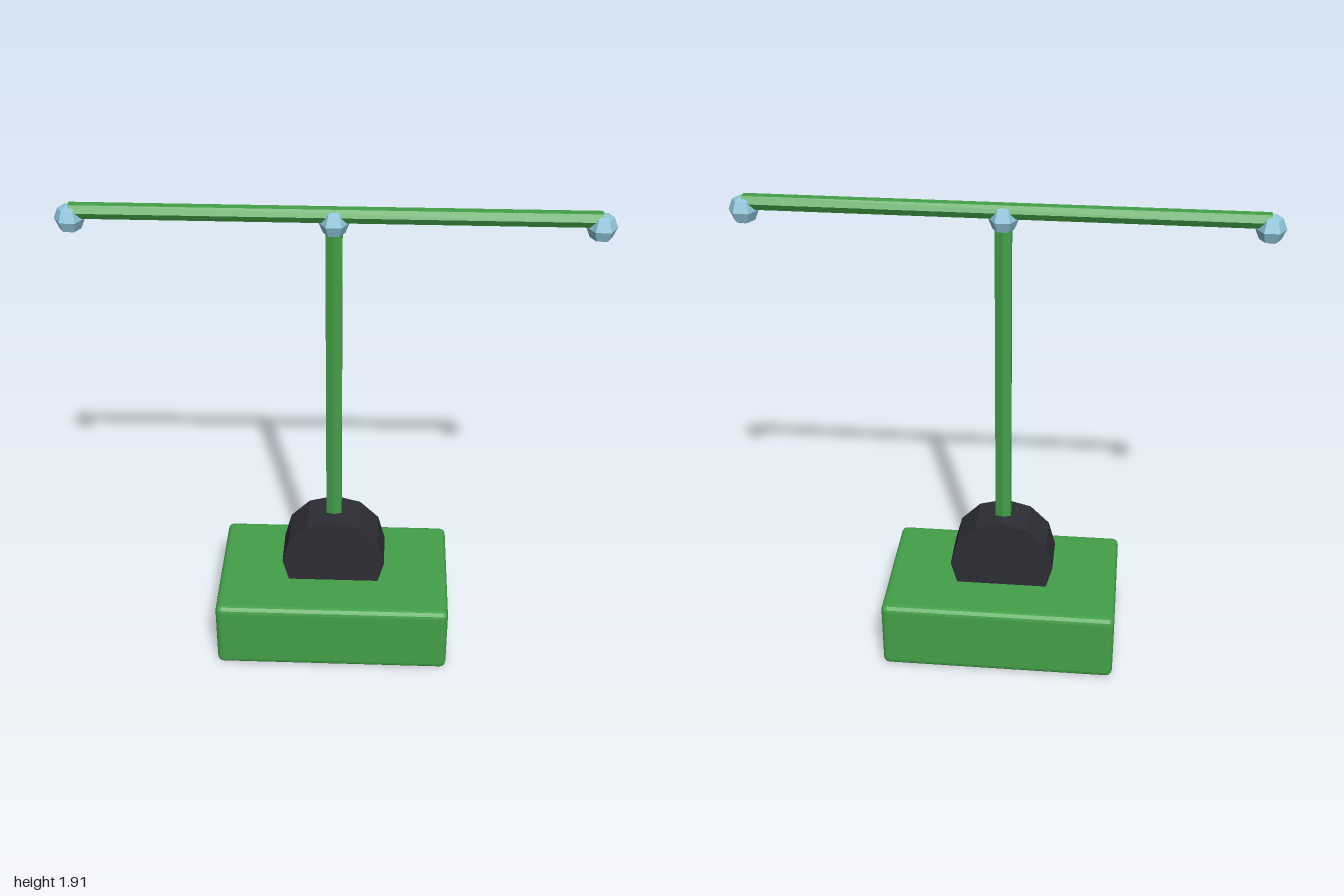
import * as THREE from 'three';
import { RoundedBoxGeometry } from 'three/addons/geometries/RoundedBoxGeometry.js';

const green = new THREE.MeshStandardMaterial({ name: 'green', color: 0x43a047, flatShading: true });
const charcoal = new THREE.MeshStandardMaterial({ name: 'charcoal', color: 0x2d2d35, flatShading: true });
const paleBlue = new THREE.MeshStandardMaterial({ name: 'paleBlue', color: 0x8ec5da, flatShading: true });

export function createModel() {
  const model = new THREE.Group();
  model.name = 'rotorStand';

  const add = (name, geometry, material, x, y, z) => {
    const mesh = new THREE.Mesh(geometry, material);
    mesh.name = name;
    mesh.position.set(x, y, z);
    model.add(mesh);
    return mesh;
  };

  // Heavy base block with softened edges
  add('base', new RoundedBoxGeometry(0.935, 0.29, 0.58, 2, 0.025), green, 0, 0.148, 0);

  // Twelve-sided drum half sunk into the base
  const drum = add('drum', new THREE.CylinderGeometry(0.207, 0.207, 0.176, 12), charcoal, 0, 0.385, 0);
  drum.rotation.x = Math.PI / 2;

  // Hexagonal post from drum to hub
  add('post', new THREE.CylinderGeometry(0.035, 0.035, 1.28, 6), green, 0, 1.218, 0);

  // Hexagonal crossbar
  const bar = add('crossbar', new THREE.CylinderGeometry(0.03, 0.03, 1.888, 6), green, 0, 1.888, 0);
  bar.rotation.z = Math.PI / 2;

  // Faceted hub and end balls
  const ball = new THREE.SphereGeometry(0.056, 6, 4);
  for (const [name, x] of [['rightBall', -0.944], ['hub', 0], ['leftBall', 0.944]]) {
    add(name, ball, paleBlue, x, 1.858, 0);
  }
  return model;
}
